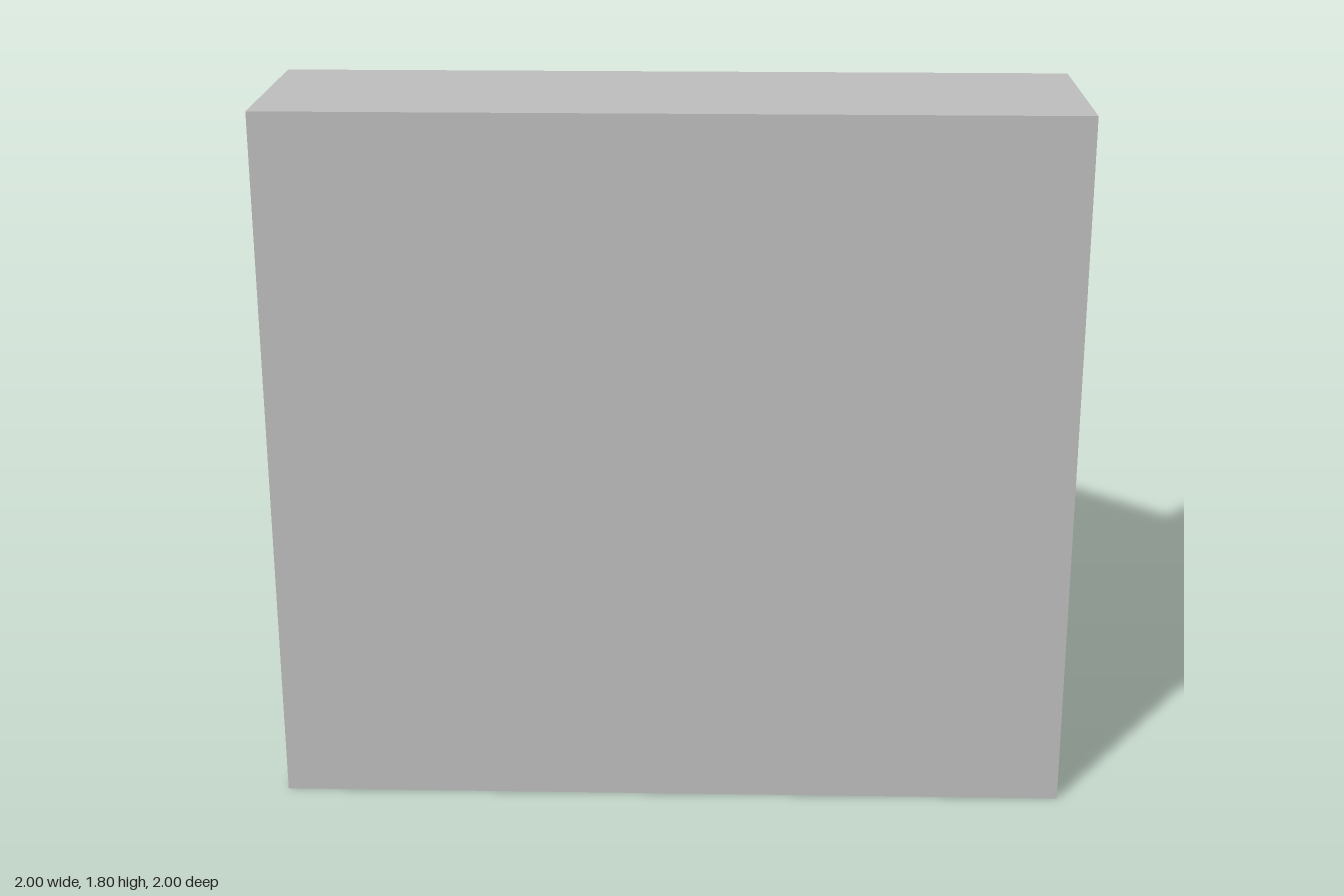
import * as THREE from 'three';

const grey = new THREE.MeshStandardMaterial({ color: 0xbebebe });
grey.name = 'casing grey';
const dark = new THREE.MeshStandardMaterial({ color: 0x848484 });
dark.name = 'vent dark grey';
const red = new THREE.MeshStandardMaterial({ color: 0xca8484 });
red.name = 'step red';

// Extrudes a side profile of [z, y] points across the width from x0 to x1
function slab(name, points, x0, x1, material) {
  const shape = new THREE.Shape(points.map(([z, y]) => new THREE.Vector2(-z, y)));
  const geometry = new THREE.ExtrudeGeometry(shape, { depth: x1 - x0, bevelEnabled: false });
  geometry.rotateY(Math.PI / 2).translate(x0, 0, 0);
  const mesh = new THREE.Mesh(geometry, material);
  mesh.name = name;
  return mesh;
}

// Rectangular profile
const rect = (z0, z1, y0, y1) => [[z0, y0], [z1, y0], [z1, y1], [z0, y1]];

export function createModel() {
  const group = new THREE.Group();
  group.name = 'steppedConsole';
  const inner = 0.89;     // half width of the hollow
  const floorTop = 0.1;
  const frontInner = 0.83;
  const rim = (z) => 0.42 + 0.9 * (z + 1); // height of the sloping rim

  // Side walls, including the posts above the slope
  const side = [[-1, 0], [1, 0], [1, 1.8], [0.49, 1.8], [0.49, 1.735],
    [0.2, 1.735], [0.2, 1.5], [-1, 0.42]];
  group.add(slab('rightWall', side, -1, -inner, grey));
  group.add(slab('leftWall', side, inner, 1, grey));

  // Floor, tall front wall, low back wall and lid
  group.add(slab('floor', rect(-0.925, frontInner, 0, floorTop), -inner, inner, grey));
  group.add(slab('frontWall', rect(frontInner, 1, 0, 1.8), -inner, inner, grey));
  group.add(slab('backWall', [[-1, 0], [-0.925, 0], [-0.925, rim(-0.925)], [-1, 0.42]],
    -inner, inner, grey));
  group.add(slab('lid', [[0.29, 1.72], [frontInner, 1.72], [frontInner, 1.8],
    [0.49, 1.8], [0.49, 1.735], [0.29, 1.735]], -inner, inner, grey));

  // Flight of seven steps with an upper landing and a sloping underside
  const count = 7, run = 0.1283, rise = 0.1155, z0 = -0.79, y0 = 0.612;
  const top = y0 + (count - 1) * rise;
  const stairs = [[z0, y0 - rise]];
  for (let i = 0; i < count; i++) {
    const z = z0 + i * run;
    if (i > 0) stairs.push([z, y0 + (i - 1) * rise]);
    stairs.push([z, y0 + i * rise]);
  }
  stairs.push([0.29, top], [0.29, top - 0.11], [0.03, top - 0.11]);
  group.add(slab('steps', stairs, -inner, inner, red));

  // Narrow landing that runs on to the front wall
  group.add(slab('landing', rect(0.29, frontInner, top - 0.11, top), -0.57, 0.57, red));

  // Dark panels
  group.add(slab('innerPanel', rect(frontInner - 0.005, frontInner, 1.25, 1.68), -0.62, 0.62, dark));
  group.add(slab('backVent', rect(-1.002, -0.998, 0.12, 0.31), -0.89, 0.89, dark));

  return group;
}
